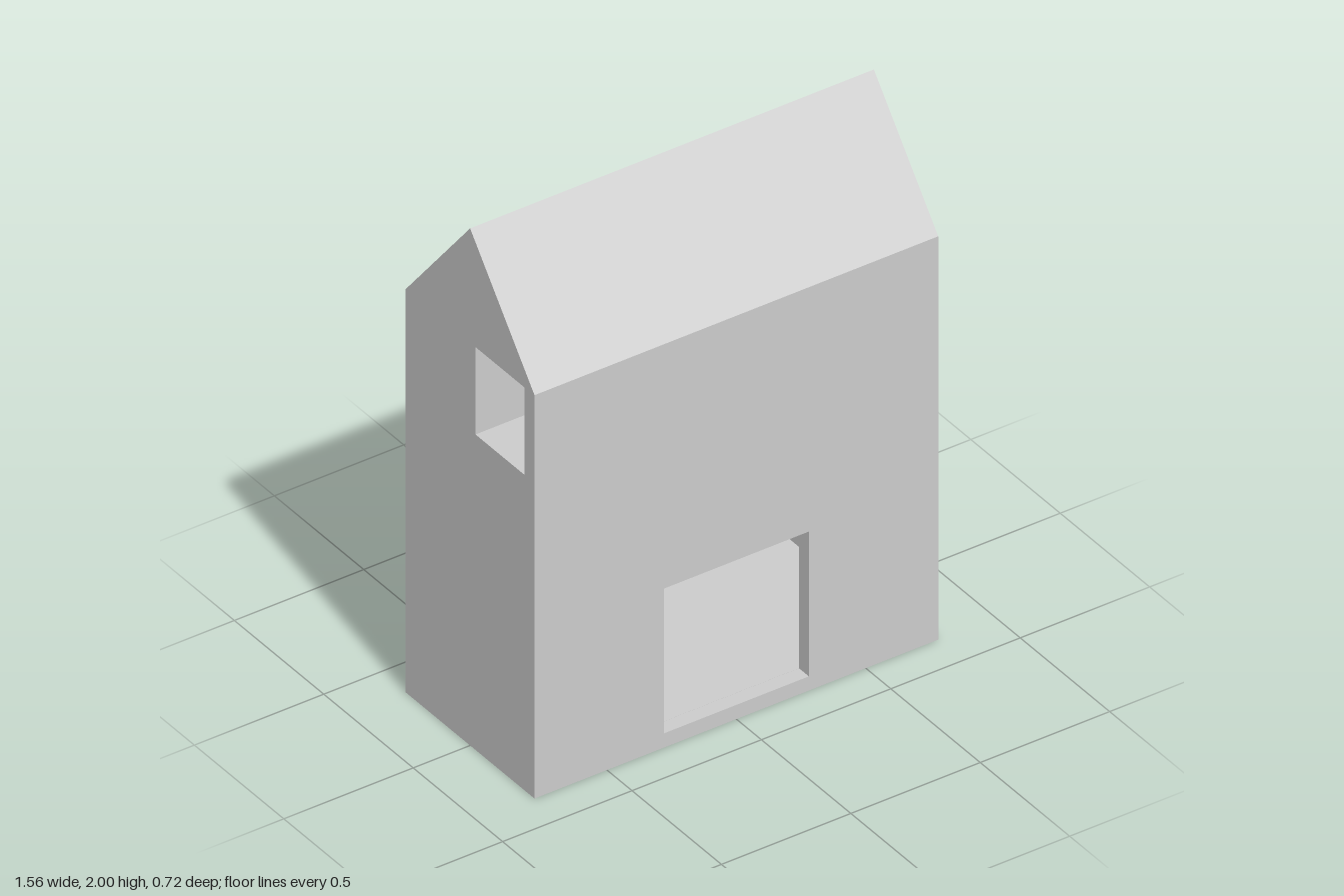
import * as THREE from 'three';

const mat = new THREE.MeshStandardMaterial({ color: 0xcccccc, side: THREE.DoubleSide });

// Outer shell half-sizes, room half-sizes, corner notch
const X = 0.78, Z = 0.36, EAVE = 1.56, RIDGE = 2;
const RX = 0.725, RZ = 0.305, NX = 0.665, NZ = 0.245, FLOOR = 0.055;
// Doorway and side window
const DX = 0.28, DTOP = 0.615, WZ = 0.03, WY = 1.22;

const rect = (u0, v0, u1, v1) => [[u0, v0], [u1, v0], [u1, v1], [u0, v1]];
const onX = (x) => (u, v) => [x, v, u]; // outline in z, y
const onY = (y) => (u, v) => [u, y, v]; // outline in x, z
const onZ = (z) => (u, v) => [u, v, z]; // outline in x, y

// Thin flat sheet: 2D outline with holes, placed by a plane mapping
function sheet(parent, name, place, outline, holes = []) {
  const toVec = (pts) => pts.map(([a, b]) => new THREE.Vector2(a, b));
  const shape = new THREE.Shape(toVec(outline));
  for (const h of holes) shape.holes.push(new THREE.Path(toVec(h)));
  const geo = new THREE.ShapeGeometry(shape);
  const p = geo.attributes.position;
  for (let i = 0; i < p.count; i++) p.setXYZ(i, ...place(p.getX(i), p.getY(i)));
  geo.computeVertexNormals();
  const mesh = new THREE.Mesh(geo, mat);
  mesh.name = name;
  parent.add(mesh);
}

function createShell() {
  const g = new THREE.Group();
  g.name = 'outerShell';
  const door = rect(-DX, FLOOR, DX, DTOP);
  sheet(g, 'frontWall', onZ(Z), rect(-X, 0, X, EAVE), [door]);
  const gable = [[-Z, 0], [Z, 0], [Z, EAVE], [0, RIDGE], [-Z, EAVE]];
  for (const s of [-1, 1]) {
    sheet(g, 'gableWall', onX(s * X), gable, [rect(WZ, WY, RZ, EAVE - 0.002)]);
    // Roof slope from eave to ridge
    sheet(g, 'roofSlope', (u, v) => [u, EAVE + v * (RIDGE - EAVE), s * Z * (1 - v)], rect(-X, 0, X, 1));
  }
  return g;
}

function createRoom() {
  const g = new THREE.Group();
  g.name = 'innerRoom';

  // Floor with notched corners and a doorway threshold
  sheet(g, 'floor', onY(FLOOR), [
    [-NX, -RZ], [NX, -RZ], [NX, -NZ], [RX, -NZ], [RX, NZ], [NX, NZ], [NX, RZ],
    [DX, RZ], [DX, Z], [-DX, Z], [-DX, RZ], [-NX, RZ], [-NX, NZ], [-RX, NZ],
    [-RX, -NZ], [-NX, -NZ],
  ]);
  // Ceiling reaches out to the side windows
  const top = EAVE - 0.002;
  sheet(g, 'ceiling', onY(top), [
    [-NX, -RZ], [NX, -RZ], [NX, -NZ], [RX, -NZ], [RX, WZ], [X, WZ], [X, RZ],
    [-X, RZ], [-X, WZ], [-RX, WZ], [-RX, -NZ], [-NX, -NZ],
  ]);

  sheet(g, 'backPanel', onZ(-RZ), rect(-NX, FLOOR, NX, top));
  // Inner front wall widens beside the windows
  sheet(g, 'innerFrontWall', onZ(RZ), [
    [-NX, FLOOR], [NX, FLOOR], [NX, WY], [X, WY], [X, top],
    [-X, top], [-X, WY], [-NX, WY],
  ], [rect(-DX, FLOOR + 0.0005, DX, DTOP)]);
  // Loft floor, level with the window sills
  sheet(g, 'loftFloor', onY(WY), rect(-X, WZ, X, RZ));

  for (const s of [-1, 1]) {
    sheet(g, 'innerSideWall', onX(s * RX), [
      [-NZ, FLOOR], [NZ, FLOOR], [NZ, WY], [WZ, WY], [WZ, top], [-NZ, top],
    ]);
    sheet(g, 'windowJamb', onZ(WZ), rect(s * RX, WY, s * X, top));
    sheet(g, 'doorJamb', onX(s * DX), rect(RZ, FLOOR, Z, DTOP));
    // Corner notches: full height at the back, up to the sill at the front
    for (const [e, h] of [[-1, top], [1, WY]]) {
      sheet(g, 'cornerNotchSide', onX(s * NX), rect(e * NZ, FLOOR, e * RZ, h));
      sheet(g, 'cornerNotchFace', onZ(e * NZ), rect(s * NX, FLOOR, s * RX, h));
    }
  }
  sheet(g, 'doorHead', onY(DTOP), rect(-DX, RZ, DX, Z));
  return g;
}

export function createModel() {
  const house = new THREE.Group();
  house.name = 'house';
  house.add(createShell(), createRoom());
  return house;
}
